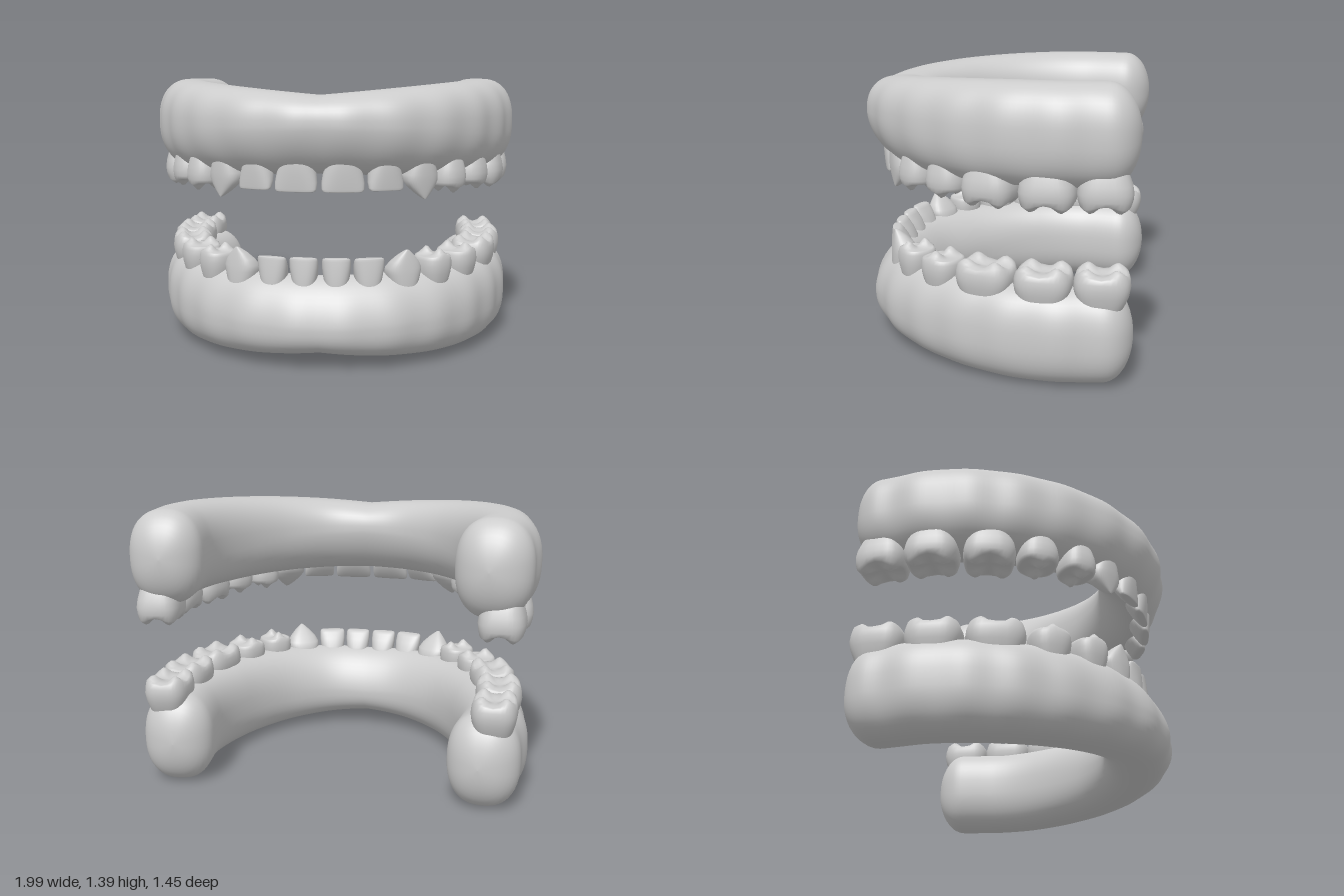
import * as THREE from 'three';

const material = new THREE.MeshStandardMaterial({ color: 0xcccccc });
material.name = 'plaster grey';

// Skin a list of closed rings (each a list of [x, y, z]) with smooth normals
function loft(rings) {
  const n = rings[0].length, index = [];
  for (let i = 0; i < rings.length - 1; i++) {
    for (let j = 0; j < n; j++) {
      const a = i * n + j, b = i * n + (j + 1) % n;
      index.push(a, a + n, b, b, a + n, b + n);
    }
  }
  const geo = new THREE.BufferGeometry();
  geo.setAttribute('position', new THREE.Float32BufferAttribute(rings.flat(2), 3));
  geo.setIndex(index);
  geo.computeVertexNormals();
  return geo;
}

const spow = (v, e) => Math.sign(v) * Math.pow(Math.abs(v), e);

// Horseshoe gum, swept along the arch with rounded ends (tooth side down)
function gumGeometry() {
  const half = [[0.2, 0.525], [0.36, 0.46], [0.54, 0.32], [0.69, 0.11], [0.785, -0.13], [0.815, -0.34], [0.788, -0.58]];
  const pts = [...half.map(([x, z]) => [-x, z]).reverse(), [0, 0.545], ...half];
  const curve = new THREE.CatmullRomCurve3(pts.map(([x, z]) => new THREE.Vector3(x, 0, z)));
  const rings = [], sides = 48, steps = 140, capSteps = 10, capLength = 0.145;

  const ring = (u, size, push) => {
    const c = curve.getPointAt(u), t = curve.getTangentAt(u);
    c.addScaledVector(t, push);
    const f = Math.min(1, Math.abs(c.x) / 0.75);      // 0 at the front, 1 at the sides
    const top = 1.325 + 0.07 * Math.min(1, Math.abs(c.x) / 0.8);
    const bottom = 0.95 - 0.02 * f, mid = 1.185 - 0.02 * f;
    const out = [];
    for (let j = 0; j < sides; j++) {
      const a = j / sides * Math.PI * 2, cs = Math.cos(a), sn = Math.sin(a);
      const p = sn > 0 ? 2.4 : 1.65 + 0.75 * f * f;
      // shallow root bulges along the outer wall
      const bulge = cs > 0 ? 0.005 * cs * Math.cos(u * Math.PI * 30) : 0;
      const r = (0.178 + bulge) * size * spow(cs, 2 / p);
      const y = mid + spow(sn, 2 / p) * size * (sn > 0 ? top - mid : mid - bottom);
      out.push([c.x - t.z * r, y, c.z + t.x * r]);
    }
    return out;
  };

  for (let i = 0; i < capSteps; i++) {
    const a = i / capSteps * Math.PI / 2;
    rings.push(ring(0, Math.sin(a), -Math.cos(a) * capLength));
  }
  for (let i = 0; i <= steps; i++) rings.push(ring(i / steps, 1, 0));
  for (let i = 1; i <= capSteps; i++) {
    const a = i / capSteps * Math.PI / 2;
    rings.push(ring(1, Math.cos(a), Math.sin(a) * capLength));
  }
  return loft(rings);
}

// Crown profiles: [height fraction, width scale, depth scale]
const profiles = {
  incisor: [[0, 0.62, 0.9], [0.25, 0.8, 0.98], [0.5, 0.93, 0.88], [0.75, 1, 0.66], [0.92, 0.99, 0.45], [0.98, 0.94, 0.36], [1, 0.84, 0.26], [1, 0, 0]],
  canine: [[0, 0.62, 0.9], [0.25, 0.86, 1], [0.45, 0.99, 0.96], [0.58, 1, 0.84], [0.72, 0.8, 0.65], [0.86, 0.48, 0.42], [0.96, 0.2, 0.2], [1, 0.07, 0.08], [1, 0, 0]],
  cheek: [[0, 0.66, 0.72], [0.2, 0.82, 0.85], [0.4, 0.95, 0.95], [0.58, 1, 1], [0.72, 0.98, 0.97]],
};
const cusps = {
  premolar: [[0, 0.52], [0, -0.5]],
  molar: [[0.52, 0.52], [-0.52, 0.52], [0.52, -0.52], [-0.52, -0.52]],
};

// Tooth with the crown pointing up, outer face towards +z
function toothGeometry(kind, w, d, h) {
  const bumps = cusps[kind], sides = 32, rings = [];
  const p = kind === 'molar' ? 3 : 2.5;
  const outline = (sx, sz, heightAt) => {
    const out = [];
    const shift = bumps ? 0 : (1 - sz) * d / 2 * 0.75;
    for (let j = 0; j < sides; j++) {
      const a = j / sides * Math.PI * 2;
      const u = spow(Math.cos(a), 2 / p) * sx, v = spow(Math.sin(a), 2 / p) * sz;
      out.push([u * w / 2, heightAt(u, v), v * d / 2 + shift]);
    }
    return out;
  };
  for (const [t, sx, sz] of profiles[bumps ? 'cheek' : kind]) rings.push(outline(sx, sz, () => t * h));
  // chewing surface with rounded cusps and grooves between them
  if (bumps) {
    const surface = (u, v) => {
      let s = 0;
      for (const [cu, cv] of bumps) s += Math.exp(-((u - cu) ** 2 + (v - cv) ** 2) / 0.1);
      return h * (0.8 + 0.2 * Math.min(1, s));
    };
    for (const r of [0.92, 0.82, 0.7, 0.58, 0.45, 0.3, 0.15, 0]) rings.push(outline(r, r, surface));
  }
  return loft(rings);
}

// One side of each row, front to back: [name, kind, x, z, width, depth, height]
const upperTeeth = [
  ['centralIncisor', 'incisor', 0.11, 0.575, 0.205, 0.13, 0.17],
  ['lateralIncisor', 'incisor', 0.305, 0.53, 0.175, 0.13, 0.165],
  ['canine', 'canine', 0.47, 0.435, 0.18, 0.15, 0.215],
  ['firstPremolar', 'premolar', 0.605, 0.325, 0.18, 0.19, 0.2],
  ['secondPremolar', 'premolar', 0.72, 0.155, 0.2, 0.2, 0.2],
  ['firstMolar', 'molar', 0.805, -0.06, 0.25, 0.23, 0.21],
  ['secondMolar', 'molar', 0.855, -0.325, 0.26, 0.23, 0.21],
  ['thirdMolar', 'molar', 0.835, -0.575, 0.25, 0.22, 0.21],
];
const lowerTeeth = [
  ['centralIncisor', 'incisor', 0.078, 0.55, 0.14, 0.13, 0.185],
  ['lateralIncisor', 'incisor', 0.23, 0.53, 0.15, 0.13, 0.185],
  ['canine', 'canine', 0.395, 0.465, 0.18, 0.15, 0.22],
  ['firstPremolar', 'premolar', 0.545, 0.365, 0.175, 0.18, 0.21],
  ['secondPremolar', 'premolar', 0.67, 0.2, 0.2, 0.2, 0.21],
  ['firstMolar', 'molar', 0.77, -0.03, 0.28, 0.22, 0.21],
  ['secondMolar', 'molar', 0.82, -0.305, 0.27, 0.23, 0.21],
  ['thirdMolar', 'molar', 0.815, -0.57, 0.26, 0.22, 0.21],
];

function toothRow(teeth, upper) {
  const row = new THREE.Group();
  teeth.forEach(([name, kind, x, z, w, d, h], i) => {
    const geo = toothGeometry(kind, w, d, h);
    // turn each tooth to face outward from the arch
    const prev = i ? teeth[i - 1] : [0, 0, -x, z];
    const next = teeth[i + 1] || teeth[i];
    const angle = Math.atan2(prev[3] - next[3], next[2] - prev[2]);
    for (const side of [1, -1]) {
      const tooth = new THREE.Mesh(geo, material);
      tooth.name = (side > 0 ? 'left ' : 'right ') + name;
      tooth.position.set(side * x, upper ? 1.04 : 0.36, z);
      tooth.rotation.set(0, side * angle, upper ? Math.PI : 0, 'YXZ');
      row.add(tooth);
    }
  });
  row.name = upper ? 'upperTeeth' : 'lowerTeeth';
  return row;
}

export function createModel() {
  const model = new THREE.Group();
  model.name = 'dentalArches';
  const gum = gumGeometry();

  const upperGum = new THREE.Mesh(gum, material);
  upperGum.name = 'upperGum';

  // the lower gum is the same arch turned over, slightly narrower
  const lowerGum = new THREE.Mesh(gum, material);
  lowerGum.name = 'lowerGum';
  lowerGum.rotation.z = Math.PI;
  lowerGum.position.y = 1.4;
  lowerGum.scale.set(0.977, 1, 0.985);

  model.add(upperGum, lowerGum, toothRow(upperTeeth, true), toothRow(lowerTeeth, false));
  return model;
}
